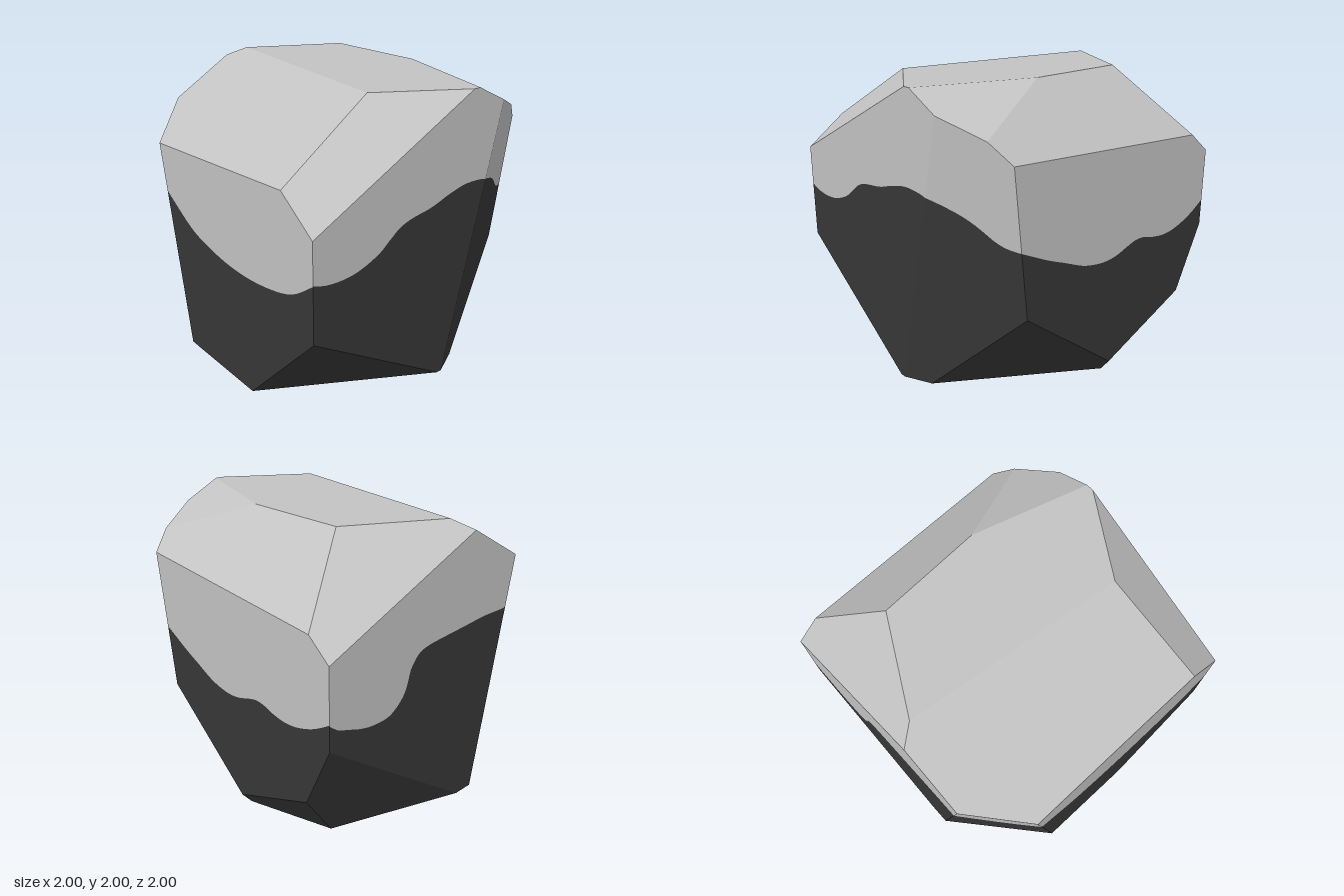
import * as THREE from 'three';

const V = (x, y, z) => new THREE.Vector3(x, y, z);

// Height of the wavy colour border along each side: [horizontal position, y]
const frontWave = [[-1.05, 1.115], [-1, 1.1], [-0.9, 1.07], [-0.78, 1.06], [-0.65, 1.075], [-0.5, 1.13], [-0.4, 1.2],
  [-0.32, 1.253], [-0.22, 1.283], [-0.05, 1.307], [0.1, 1.35], [0.25, 1.38], [0.4, 1.375], [0.5, 1.35],
  [0.65, 1.29], [0.75, 1.23], [0.85, 1.15], [0.92, 1.115], [1, 1.1], [1.05, 1.1]];
const rightWave = [[-1.05, 1.08], [-1, 1.05], [-0.88, 0.975], [-0.78, 0.93], [-0.68, 0.9], [-0.58, 0.89], [-0.48, 0.9],
  [-0.38, 0.923], [-0.3, 0.923], [-0.22, 0.9], [-0.12, 0.865], [-0.02, 0.85], [0.08, 0.855], [0.2, 0.88],
  [0.35, 0.94], [0.5, 1], [0.65, 1.07], [0.72, 1.1], [0.85, 1.13]];
const backWave = [[-0.7, 1.36], [-0.57, 1.325], [-0.36, 1.325], [-0.11, 1.308], [0.1, 1.294], [0.2, 1.282], [0.26, 1.262],
  [0.305, 1.22], [0.34, 1.165], [0.372, 1.06], [0.42, 0.985], [0.515, 0.918], [0.64, 0.908], [0.75, 0.926],
  [0.86, 0.965], [0.93, 0.99], [1, 1.045], [1.05, 1.09]];
const backLeftWave = [[-1.05, 1.18], [-1, 1.16], [-0.937, 1.13], [-0.851, 1.122], [-0.764, 1.157], [-0.652, 1.245],
  [-0.574, 1.325], [-0.5, 1.4]];
const leftWave = [[-0.7, 1.21], [-0.61, 1.16], [-0.48, 1.077], [-0.344, 0.996], [-0.208, 0.941], [0.064, 0.885],
  [0.336, 0.872], [0.608, 0.903], [0.812, 0.965], [0.99, 1.09], [1.05, 1.13]];

// Facets of the boulder as planes n.p <= d; wavy ones carry their axis and border
const facets = [
  { n: [0, 1, 0], d: 2 },                           // flat top
  { n: [0, -1, 0], d: 0 },                          // base
  { n: [0, 0, 1], d: 1, axis: 'x', wave: frontWave },
  { n: [1, -0.234, 2.1], d: 2.24, axis: 'x', wave: frontWave },
  { n: [1, 0, 0], d: 1, axis: 'z', wave: rightWave },
  { n: [0, 0, -1], d: 1, axis: 'x', wave: backWave },
  { n: [-1, -0.1785, -1.155], d: 1.5, axis: 'x', wave: backLeftWave },
  { n: [-1, 0, 0], d: 1, axis: 'z', wave: leftWave },
  { n: [1.254, -1, 0.75], d: 1.0965 },              // lower bevels
  { n: [1.29, -1, -0.456], d: 1.241 },
  { n: [0.338, -0.465, -1], d: 0.933 },
  { n: [-0.645, -1, 1.069], d: 1.0045 },
  { n: [-1, 1.734, -0.1126], d: 3.676 },            // upper bevels
  { n: [-0.643, 1.327, 1], d: 3.474 },
  { n: [1, 2.03, 0.2875], d: 4.678 },
  { n: [1, 1.11, -0.0548], d: 2.769 },
  { n: [0.54, 1.256, -1], d: 3.322 },
].map((f) => ({ ...f, n: V(...f.n) }));

// Keep the part of a convex polygon where n.p <= d
function clip(poly, n, d) {
  const out = [];
  poly.forEach((a, i) => {
    const b = poly[(i + 1) % poly.length];
    const da = n.dot(a) - d, db = n.dot(b) - d;
    if (da <= 0) out.push(a);
    if ((da < 0 && db > 0) || (da > 0 && db < 0)) out.push(a.clone().lerp(b, da / (da - db)));
  });
  return out;
}

// Outline of one facet: a large square on its plane, cut by all the others
function facetOutline(facet) {
  const n = facet.n.clone().normalize();
  const u = V(0.31, 0.52, 0.79).cross(n).normalize();
  const v = n.clone().cross(u);
  const c = n.clone().multiplyScalar(facet.d / facet.n.length());
  let poly = [[-1, -1], [1, -1], [1, 1], [-1, 1]].map(([a, b]) =>
    c.clone().addScaledVector(u, a * 9).addScaledVector(v, b * 9));
  for (const other of facets) if (other !== facet) poly = clip(poly, other.n, other.d);
  return poly;
}

function buildGeometry(polys) {
  const pos = [], nor = [];
  for (const { poly, n } of polys) {
    for (let i = 1; i < poly.length - 1; i++) {
      for (const p of [poly[0], poly[i], poly[i + 1]]) {
        pos.push(p.x, p.y, p.z);
        nor.push(n.x, n.y, n.z);
      }
    }
  }
  const g = new THREE.BufferGeometry();
  g.setAttribute('position', new THREE.Float32BufferAttribute(pos, 3));
  g.setAttribute('normal', new THREE.Float32BufferAttribute(nor, 3));
  return g;
}

export function createModel() {
  const paleStone = new THREE.MeshStandardMaterial({ color: 0xc3c3c3 });
  paleStone.name = 'paleStone';
  const darkStone = new THREE.MeshStandardMaterial({ color: 0x373737 });
  darkStone.name = 'darkStone';

  const upper = [], lower = [];
  for (const facet of facets) {
    const poly = facetOutline(facet);
    const n = facet.n.clone().normalize();
    if (!facet.wave) {
      const midY = poly.reduce((s, p) => s + p.y, 0) / poly.length;
      (midY > 1.2 ? upper : lower).push({ poly, n });
      continue;
    }
    // Cut the facet into upright strips and split each at the border
    const along = facet.axis === 'x' ? V(1, 0, 0) : V(0, 0, 1);
    const back = along.clone().negate();
    const pts = new THREE.SplineCurve(facet.wave.map((p) => new THREE.Vector2(...p))).getPoints(facet.wave.length * 5);
    pts[0].x = -3;
    pts[pts.length - 1].x = 3;
    for (let i = 0; i < pts.length - 1; i++) {
      const a = pts[i], b = pts[i + 1];
      if (b.x - a.x < 1e-6) continue;
      const strip = clip(clip(poly, back, -a.x), along, b.x);
      const slope = (b.y - a.y) / (b.x - a.x);
      const border = V(0, 1, 0).addScaledVector(along, -slope);
      const level = a.y - slope * a.x;
      lower.push({ poly: clip(strip, border, level), n });
      upper.push({ poly: clip(strip, border.clone().negate(), -level), n });
    }
  }

  const group = new THREE.Group();
  group.name = 'boulder';
  const top = new THREE.Mesh(buildGeometry(upper), paleStone);
  top.name = 'paleUpperStone';
  const bottom = new THREE.Mesh(buildGeometry(lower), darkStone);
  bottom.name = 'darkLowerStone';
  group.add(top, bottom);
  return group;
}
